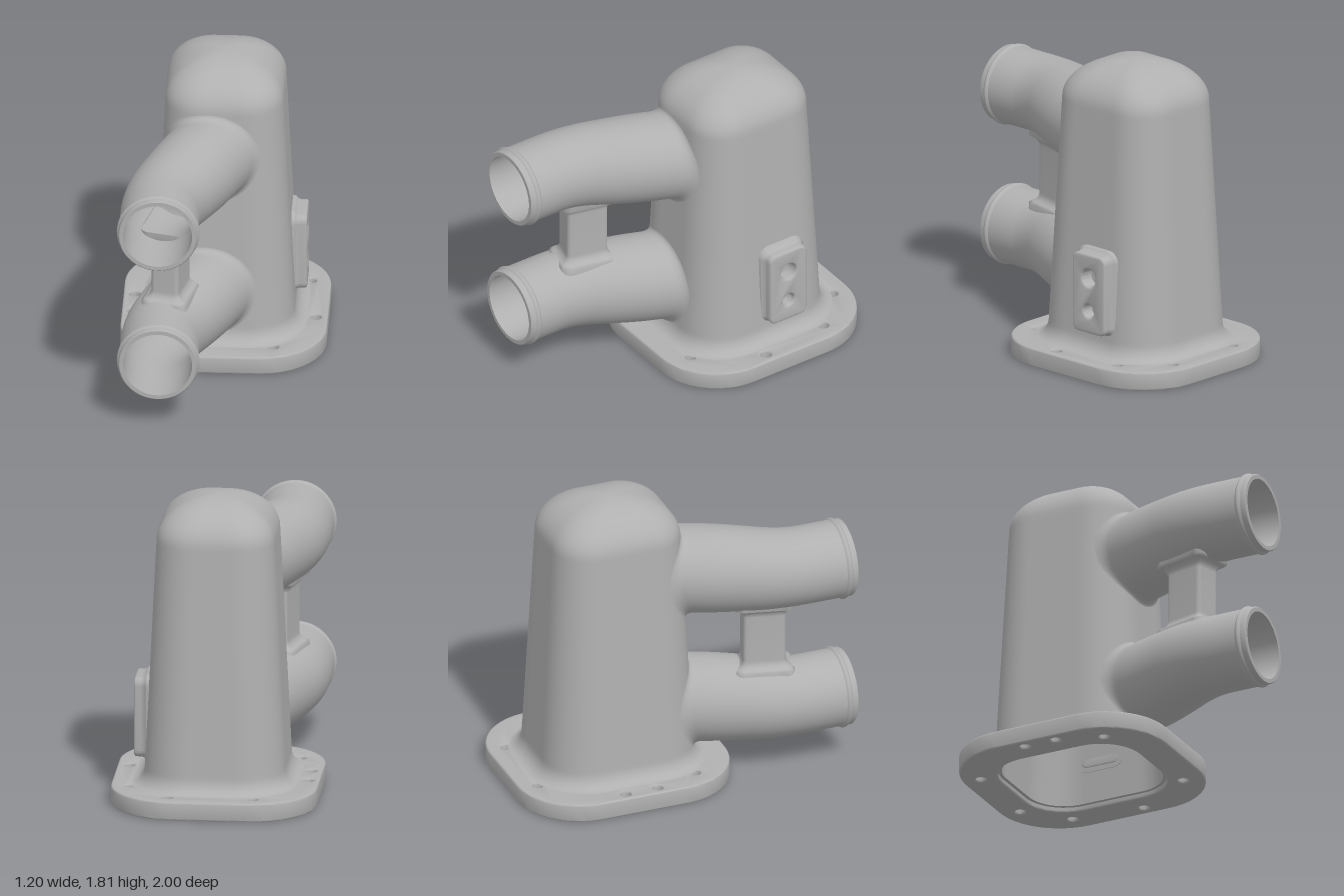
import * as THREE from 'three';
import { toCreasedNormals } from 'three/addons/utils/BufferGeometryUtils.js';

const CZ = -0.35; // tower and flange centre in z
const V = (x, y, z) => new THREE.Vector3(x, y, z);

// Rounded rectangle in the xz plane, centred on the origin
function ring(y, hx, hz, r, m = 12, flat = 14) {
  const arcs = [], pts = [];
  for (let q = 0; q < 4; q++) for (let i = 0; i <= m; i++) {
    const a = (q + i / m) * Math.PI / 2;
    const sx = q === 0 || q === 3 ? 1 : -1, sz = q < 2 ? 1 : -1;
    arcs.push(V(sx * (hx - r) + r * Math.cos(a), y, sz * (hz - r) + r * Math.sin(a)));
  }
  arcs.forEach((p, i) => {
    pts.push(p);
    if (i % (m + 1) === m) {
      const next = arcs[(i + 1) % arcs.length];
      for (let k = 1; k < flat; k++) pts.push(p.clone().lerp(next, k / flat));
    }
  });
  return pts;
}

// Skin over closed rings; a repeated ring makes a sharp edge
function loft(rings, flip = false, drop = () => false) {
  const n = rings[0].length, index = [];
  for (let j = 0; j < rings.length - 1; j++) for (let i = 0; i < n; i++) {
    const k = (i + 1) % n, a = j * n + i, b = j * n + k, c = a + n, d = b + n;
    if (drop(j, i, k)) continue;
    if (flip) index.push(a, b, c, b, d, c);
    else index.push(a, c, b, b, c, d);
  }
  const g = new THREE.BufferGeometry().setFromPoints(rings.flat());
  g.setIndex(index);
  g.computeVertexNormals();
  return g;
}

// Tower half-sizes at a height, and its front surface
const halfX = y => 0.41 - (y - 0.2) * 0.048;
const halfZ = y => 0.46 - (y - 0.2) * 0.0515;
const towerRing = (y, off, s = 1) => ring(y, (halfX(Math.min(y, 1.56)) + off) * s,
  (halfZ(Math.min(y, 1.56)) + off) * s, (0.65 * halfX(Math.min(y, 1.56)) + off) * s)
  .map(p => p.setZ(p.z + CZ));
function frontZ(x, y, off) {
  const hx = halfX(y) + off, hz = halfZ(y) + off, r = 0.65 * halfX(y) + off;
  const e = Math.min(Math.max(Math.abs(x) - (hx - r), 0), r);
  return CZ + hz - r + Math.sqrt(r * r - e * e);
}

const PIPE_Y = [0.43, 1.28];

// Tower skin with round openings cut in the front for the pipes
function towerSkin(start, y0, off, cx, cr, flip) {
  const rings = [...start];
  for (let i = 0; i <= 60; i++) rings.push(towerRing(y0 + (1.56 - y0) * i / 60, off));
  for (let i = 1; i <= 16; i++) {
    const a = i / 16 * Math.PI / 2;
    rings.push(towerRing(1.56 + (0.25 + off) * Math.sin(a), off, Math.max(Math.cos(a), 1e-4)));
  }
  const inside = rings.map(rg => rg.map(p => {
    const cy = PIPE_Y.find(v => Math.hypot(p.x - cx, p.y - v) < cr);
    if (cy === undefined || p.z < CZ) return false;
    const l = Math.hypot(p.x - cx, p.y - cy) || 1;
    p.x = cx + (p.x - cx) / l * cr;
    p.y = cy + (p.y - cy) / l * cr;
    p.z = frontZ(p.x, p.y, off);
    return true;
  }));
  return loft(rings, flip, (j, i, k) =>
    inside[j][i] && inside[j][k] && inside[j + 1][i] && inside[j + 1][k]);
}

// Hollow pipe: bore, rim, bead, swelling body and a fillet onto the tower
function pipeGeometry(cy) {
  const N = 64, WALL = -0.045;
  const slope = z => { const d = 0.75 - z; return d < 0 ? 0 : d < 0.3 ? 1.44 * d : 0.432; };
  const centre = z => { const d = 0.75 - z; return -0.33 + (d < 0 ? 0 : d < 0.3 ? 0.72 * d * d : 0.065 + 0.432 * (d - 0.3)); };
  const radius = z => 0.23 + 0.03 * (1 - THREE.MathUtils.smoothstep(z, 0.15, 0.75));
  const angles = Array.from({ length: N }, (_, i) => i / N * Math.PI * 2);
  const circle = (z, r) => angles.map(a => {
    const s = slope(z), l = Math.hypot(1, s), c = r * Math.cos(a);
    return V(centre(z) + c / l, cy + r * Math.sin(a), z + c * s / l);
  });
  const rings = [angles.map(a => {
    const x = -0.06 + 0.225 * Math.cos(a), y = cy + 0.225 * Math.sin(a);
    return V(x, y, frontZ(x, y, WALL));
  })];
  for (let i = 0; i <= 20; i++) { const z = 0.12 + 0.88 * i / 20; rings.push(circle(z, radius(z) - 0.03)); }
  rings.push(circle(1, 0.2), circle(1, 0.224), circle(1, 0.224), circle(0.993, 0.23), circle(0.965, 0.23), circle(0.965, 0.23));
  for (let i = 0; i <= 8; i++) rings.push(circle(0.965 - 0.035 * i / 8, 0.23 + 0.011 * Math.sin(i / 8 * Math.PI)));
  rings.push(circle(0.93, 0.23));
  for (let i = 1; i <= 24; i++) { const z = 0.93 - 0.73 * i / 24; rings.push(circle(z, radius(z))); }
  // fillet: run each line on to the tower, then round it outwards
  const from = rings[rings.length - 1];
  const meet = from.map(p => {
    const c = p.clone();
    while (c.z > frontZ(c.x, c.y, 0) && c.z > -0.3) { c.z -= 0.002; c.x += 0.002 * 0.432; }
    return c;
  });
  const land = meet.map((c, i) => {
    const x = Math.max(c.x + 0.035 * Math.cos(angles[i]), -0.99 * halfX(c.y)), y = c.y + 0.035 * Math.sin(angles[i]);
    return V(x, y, frontZ(x, y, 0) - 0.001);
  });
  const near = meet.map((c, i) => c.clone().lerp(from[i], Math.min(1, 0.06 / c.distanceTo(from[i]))));
  for (let k = 1; k <= 3; k++) rings.push(from.map((p, i) => p.clone().lerp(near[i], k / 3)));
  for (let k = 1; k <= 8; k++) {
    const t = k / 8;
    rings.push(near.map((p, i) => p.clone().multiplyScalar((1 - t) ** 2)
      .addScaledVector(meet[i], 2 * t * (1 - t)).addScaledVector(land[i], t * t)));
  }
  return loft(rings);
}

// Plate extruded from an outline, with holes and a soft rim
function plate(outline, holes, depth, bevel) {
  const shape = new THREE.Shape(outline.map(p => new THREE.Vector2(p.x, p.z)));
  shape.holes.push(...holes);
  const g = new THREE.ExtrudeGeometry(shape, {
    depth: depth - 2 * bevel, bevelSize: bevel, bevelThickness: bevel, bevelOffset: -bevel, bevelSegments: 3, curveSegments: 24,
  });
  return toCreasedNormals(g.translate(0, 0, bevel), 0.6);
}
const hole = (x, y, r) => new THREE.Path().absarc(x, y, r, 0, Math.PI * 2, true);

export function createModel() {
  const group = new THREE.Group();
  const metal = new THREE.MeshStandardMaterial({ color: 0xb0b0b0, side: THREE.DoubleSide });
  metal.name = 'cast grey metal';
  const add = (name, geometry) => {
    const mesh = new THREE.Mesh(geometry, metal);
    mesh.name = name;
    group.add(mesh);
    return mesh;
  };

  // Base flange with bolt holes and the large opening
  const bolts = [[-0.25, -0.885], [0.25, -0.885], [0.48, -0.66], [0.53, -0.22],
    [0.3, 0.155], [-0.445, 0.02], [-0.535, -0.25], [-0.535, -0.45]];
  const opening = new THREE.Path(ring(0, 0.395, 0.445, 0.25).map(p => new THREE.Vector2(p.x, p.z)));
  const flange = plate(ring(0, 0.6, 0.65, 0.39, 20, 1),
    [opening, ...bolts.map(([x, z]) => hole(x, CZ - z, 0.031))], 0.11, 0.01);
  add('baseFlange', flange.rotateX(-Math.PI / 2).translate(0, 0, CZ));

  // Tower, outside with a foot fillet and inside with a step
  const foot = [];
  for (let k = 0; k < 8; k++) {
    const a = k / 8 * Math.PI / 2;
    foot.push(towerRing(0.109 + 0.091 * (1 - Math.cos(a)), 0.075 * (1 - Math.sin(a))));
  }
  add('towerOutside', towerSkin(foot, 0.2, 0, -0.085, 0.24, false));
  const step = [towerRing(0.03, -0.015), towerRing(0.03, -0.045)];
  add('towerInside', towerSkin(step, 0.03, -0.045, -0.06, 0.225, true));

  // Two curved pipes
  PIPE_Y.forEach((y, i) => add(i ? 'upperPipe' : 'lowerPipe', pipeGeometry(y)));

  // Brace between the pipes, flared at both ends
  const flare = [[-0.27, 0.055], [-0.205, 0.052], [-0.195, 0.035], [-0.185, 0.02], [-0.17, 0.007], [-0.145, 0]];
  const rows = [...flare, ...flare.map(([y, o]) => [-y, o]).reverse()];
  const brace = add('pipeBrace', loft(rows.map(([y, o]) => ring(y, 0.083 + o, 0.125 + o, 0.025 + o * 0.5, 6, 4))));
  brace.position.set(-0.28, 0.855, 0.51);
  brace.rotation.y = -0.245;

  // Side pad with two holes, and its fillet
  const pad = plate(ring(0, 0.13, 0.24, 0.045, 10, 1), [hole(0, 0.095, 0.053), hole(0, -0.105, 0.04)], 0.115, 0.014);
  add('sidePad', pad.rotateY(Math.PI / 2).translate(0.36, 0.485, -0.42));
  const collar = [[0.36, 0.025], [0.4, 0.022], [0.407, 0.012], [0.418, 0.004], [0.435, -0.002]];
  add('sidePadFillet', loft(collar.map(([y, o]) => ring(y, 0.24 + o, 0.13 + o, 0.045 + o, 8, 3)))
    .rotateZ(-Math.PI / 2).translate(0, 0.485, -0.42));
  return group;
}
